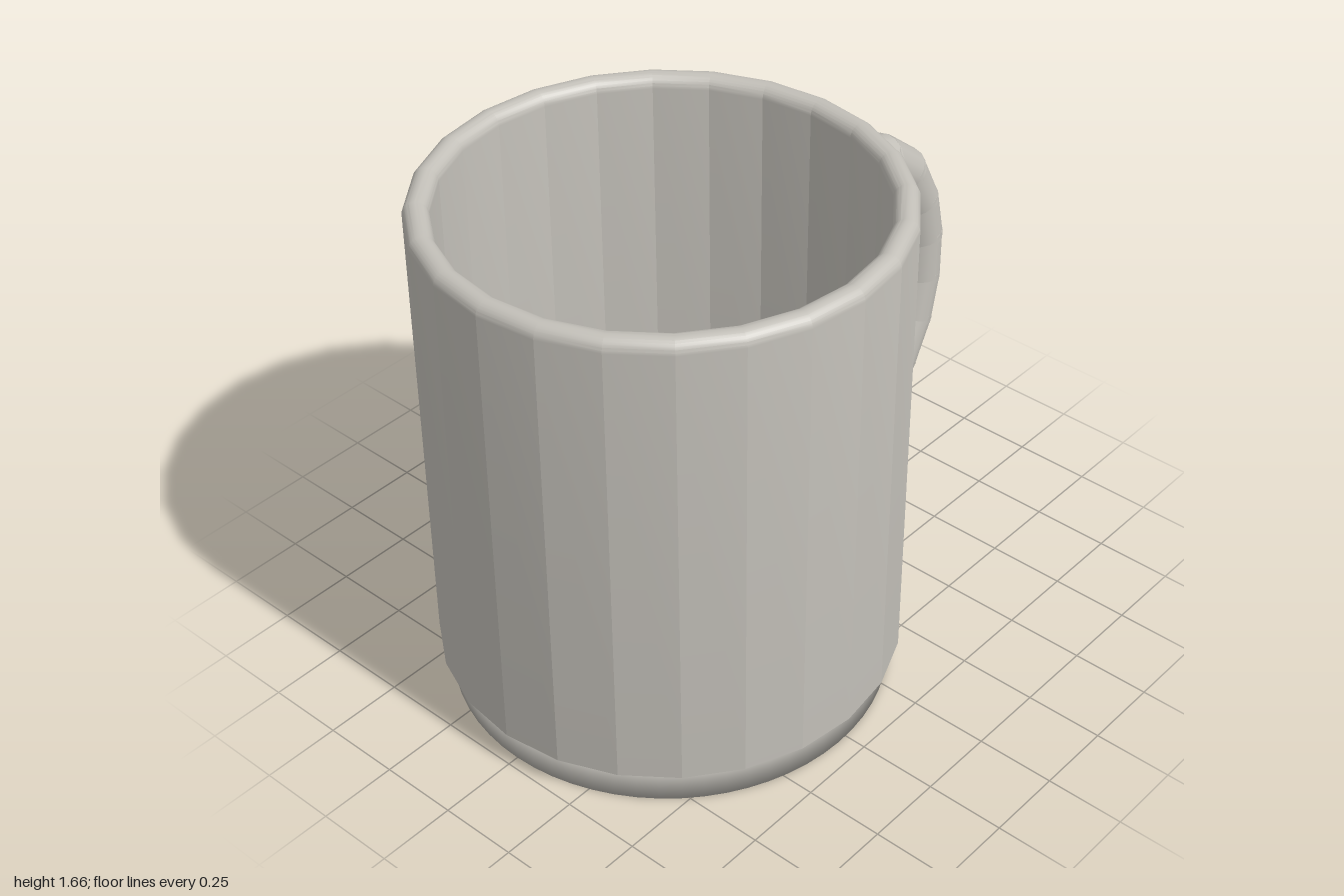
import * as THREE from 'three';
import { toCreasedNormals } from 'three/addons/utils/BufferGeometryUtils.js';

export function createModel() {
  const model = new THREE.Group();
  model.name = 'mug';
  const clay = new THREE.MeshStandardMaterial({ color: 0xc2bfb8 });
  clay.name = 'warm grey clay';

  const add = (geometry, name, parent) => {
    const mesh = new THREE.Mesh(geometry, clay);
    mesh.name = name;
    parent.add(mesh);
    return mesh;
  };

  const body = new THREE.Group();
  body.name = 'body';
  body.position.x = -0.285;
  model.add(body);

  // Round foot, whose top is the floor inside
  const foot = [[0, 0], [0.68, 0], [0.68, 0.12], [0, 0.12]];
  add(new THREE.LatheGeometry(foot.map(p => new THREE.Vector2(...p)), 64), 'foot', body);

  // Wall of 24 flat staves with a rounded rim
  const inner = 0.64, outer = 0.716, bottom = 0.12, top = 1.66;
  const bead = (outer - inner) / 2;
  const profile = [new THREE.Vector2(inner, bottom), new THREE.Vector2(outer, bottom)];
  for (let i = 0; i <= 14; i++) {
    const a = (i / 14) * Math.PI;
    profile.push(new THREE.Vector2(
      inner + bead + bead * Math.cos(a), top - bead + bead * Math.sin(a)));
  }
  profile.push(new THREE.Vector2(inner, bottom));
  add(toCreasedNormals(new THREE.LatheGeometry(profile, 24), 0.24), 'staveWall', body);

  // Handle of short overlapping round links, mirrored about its middle
  const handle = new THREE.Group();
  handle.name = 'handle';
  model.add(handle);
  const middle = 0.87;
  const upper = [[0.385, 1.36], [0.55, 1.352], [0.7, 1.315], [0.81, 1.225], [0.88, 1.09], [0.912, 0.945]];
  const lower = upper.map(([x, y]) => [x, 2 * middle - y]).reverse();
  const path = [...upper, ...lower].map(([x, y]) => new THREE.Vector3(x, y, 0));
  const up = new THREE.Vector3(0, 1, 0);
  for (let i = 0; i < path.length - 1; i++) {
    const along = path[i + 1].clone().sub(path[i]);
    const atWall = i === 0 || i === path.length - 2;
    const length = along.length() + (atWall ? 0 : 0.03);
    const link = add(new THREE.CylinderGeometry(0.08, 0.08, length, 16), 'handleLink', handle);
    link.position.copy(path[i]).add(path[i + 1]).multiplyScalar(0.5);
    link.quaternion.setFromUnitVectors(up, along.normalize());
  }
  return model;
}
